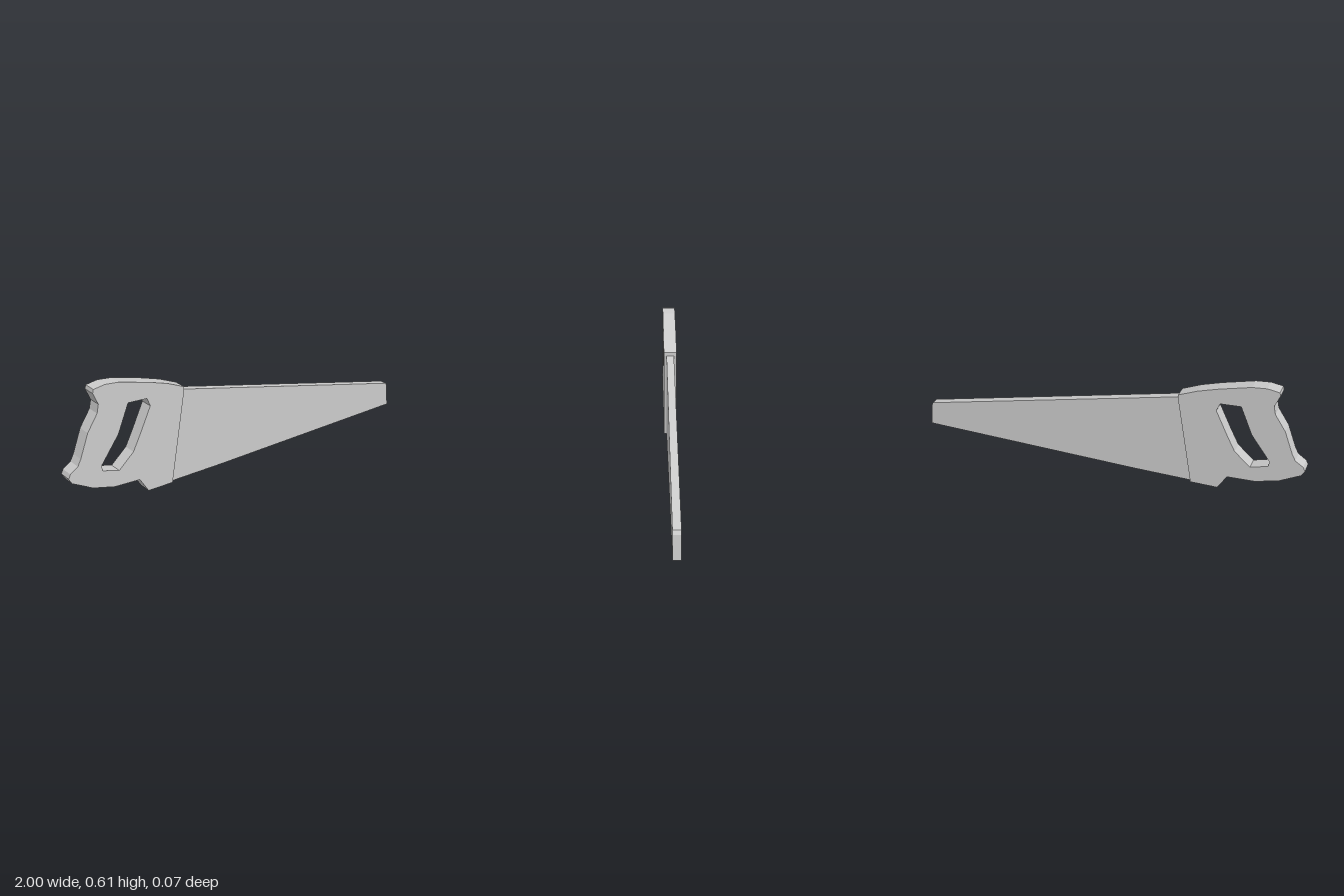
import * as THREE from 'three';

const material = new THREE.MeshStandardMaterial({ color: 0xcccccc, flatShading: true });
const toPoints = (list) => list.map(([x, y]) => new THREE.Vector2(x, y));

// Flat plate of the given thickness, centred on z = 0
function plate(name, outline, thickness, hole) {
  const shape = new THREE.Shape(toPoints(outline));
  if (hole) shape.holes.push(new THREE.Path(toPoints(hole)));
  const geometry = new THREE.ExtrudeGeometry(shape, { depth: thickness, bevelEnabled: false });
  geometry.translate(0, 0, -thickness / 2);
  const mesh = new THREE.Mesh(geometry, material);
  mesh.name = name;
  return mesh;
}

export function createModel() {
  const saw = new THREE.Group();
  saw.name = 'handSaw';

  // Handle, clockwise from the upper horn
  const handleOutline = [
    [-0.848, 0.602], [-0.79, 0.61], [-0.72, 0.602], [-0.564, 0.559], [-0.463, 0.526],
    [-0.37, 0.485], [-0.37, 0.466], [-0.45, 0.007], [-0.586, 0.01], [-0.632, 0.084],
    [-0.767, 0.093], [-0.88, 0.125], [-0.985, 0.183], [-1, 0.21], [-0.99, 0.231],
    [-0.95, 0.257], [-0.933, 0.289], [-0.89, 0.404], [-0.837, 0.484], [-0.828, 0.526],
    [-0.853, 0.584],
  ];
  // Finger opening
  const gripHole = [
    [-0.676, 0.489], [-0.735, 0.35], [-0.83, 0.222], [-0.826, 0.195], [-0.74, 0.168],
    [-0.66, 0.238], [-0.62, 0.315], [-0.559, 0.441], [-0.575, 0.482],
  ];
  saw.add(plate('handle', handleOutline, 0.066, gripHole));

  // Tapering blade, meeting the slanted edge of the handle
  const bladeOutline = [
    [-0.45, 0.008], [-0.15, 0.003], [1, 0], [0.99, 0.112], [0.982, 0.13], [-0.37, 0.467],
  ];
  saw.add(plate('blade', bladeOutline, 0.038));

  return saw;
}
